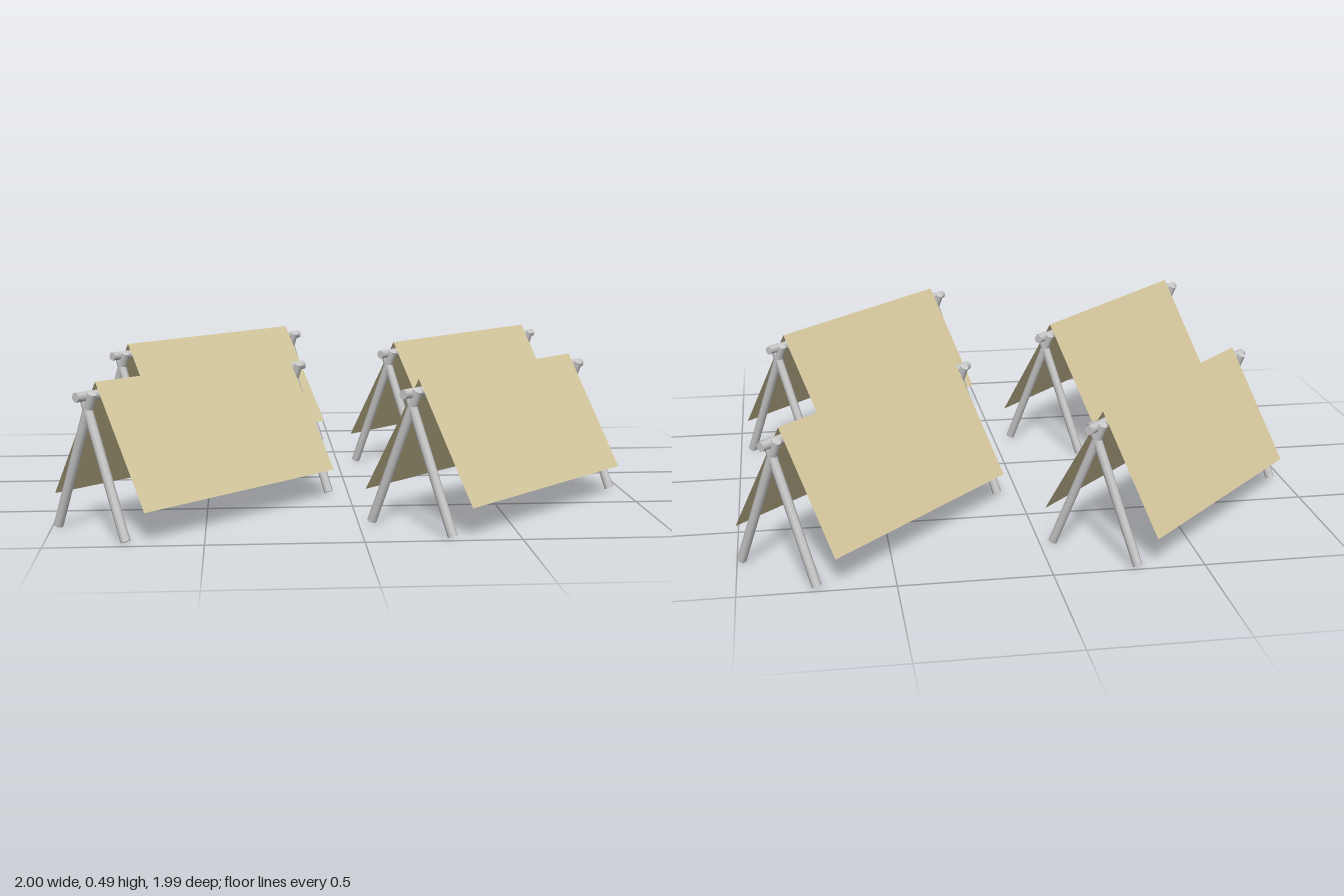
import * as THREE from 'three';

const poleMaterial = new THREE.MeshStandardMaterial({ color: 0xcccccc });
const canvasMaterial = new THREE.MeshStandardMaterial({ color: 0xdccea2, side: THREE.DoubleSide });

// Round pole between two points
function pole(name, a, b, radius) {
  const dir = new THREE.Vector3().subVectors(b, a);
  const mesh = new THREE.Mesh(new THREE.CylinderGeometry(radius, radius, dir.length(), 8), poleMaterial);
  mesh.name = name;
  mesh.position.addVectors(a, b).multiplyScalar(0.5);
  mesh.quaternion.setFromUnitVectors(new THREE.Vector3(0, 1, 0), dir.normalize());
  return mesh;
}

// One tent with its ridge along local x
function createTent() {
  const tent = new THREE.Group();
  tent.name = 'tent';
  const length = 0.89, halfWidth = 0.22, ridgeY = 0.49, hemY = 0.1;
  const drop = ridgeY - hemY;

  // Two sloping canvas sheets meeting at the ridge
  for (const side of [1, -1]) {
    const sheet = new THREE.PlaneGeometry(length, Math.hypot(halfWidth, drop));
    sheet.rotateX(-Math.atan2(halfWidth, drop));
    sheet.translate(0, (ridgeY + hemY) / 2, halfWidth / 2);
    if (side < 0) sheet.rotateY(Math.PI);
    const mesh = new THREE.Mesh(sheet, canvasMaterial);
    mesh.name = side > 0 ? 'frontCanvas' : 'backCanvas';
    tent.add(mesh);
  }

  // Ridge pole resting in the crossed legs
  tent.add(pole('ridgePole', new THREE.Vector3(-0.525, 0.449, 0), new THREE.Vector3(0.525, 0.449, 0), 0.016));

  // Crossed pair of legs at each end
  for (const x of [-0.477, 0.477]) {
    const legs = new THREE.Group();
    legs.name = 'crossedLegs';
    for (const s of [1, -1]) {
      legs.add(pole('leg', new THREE.Vector3(x, 0.006, s * 0.166), new THREE.Vector3(x, 0.458, s * -0.022), 0.016));
    }
    tent.add(legs);
  }
  return tent;
}

export function createModel() {
  const camp = new THREE.Group();
  camp.name = 'tentCamp';
  // Four tents, all turned diagonally
  for (const [x, z] of [[-0.5, -0.53], [0.53, -0.52], [-0.525, 0.51], [0.5, 0.52]]) {
    const tent = createTent();
    tent.position.set(x, 0, z);
    tent.rotation.y = Math.PI / 4;
    camp.add(tent);
  }
  return camp;
}
